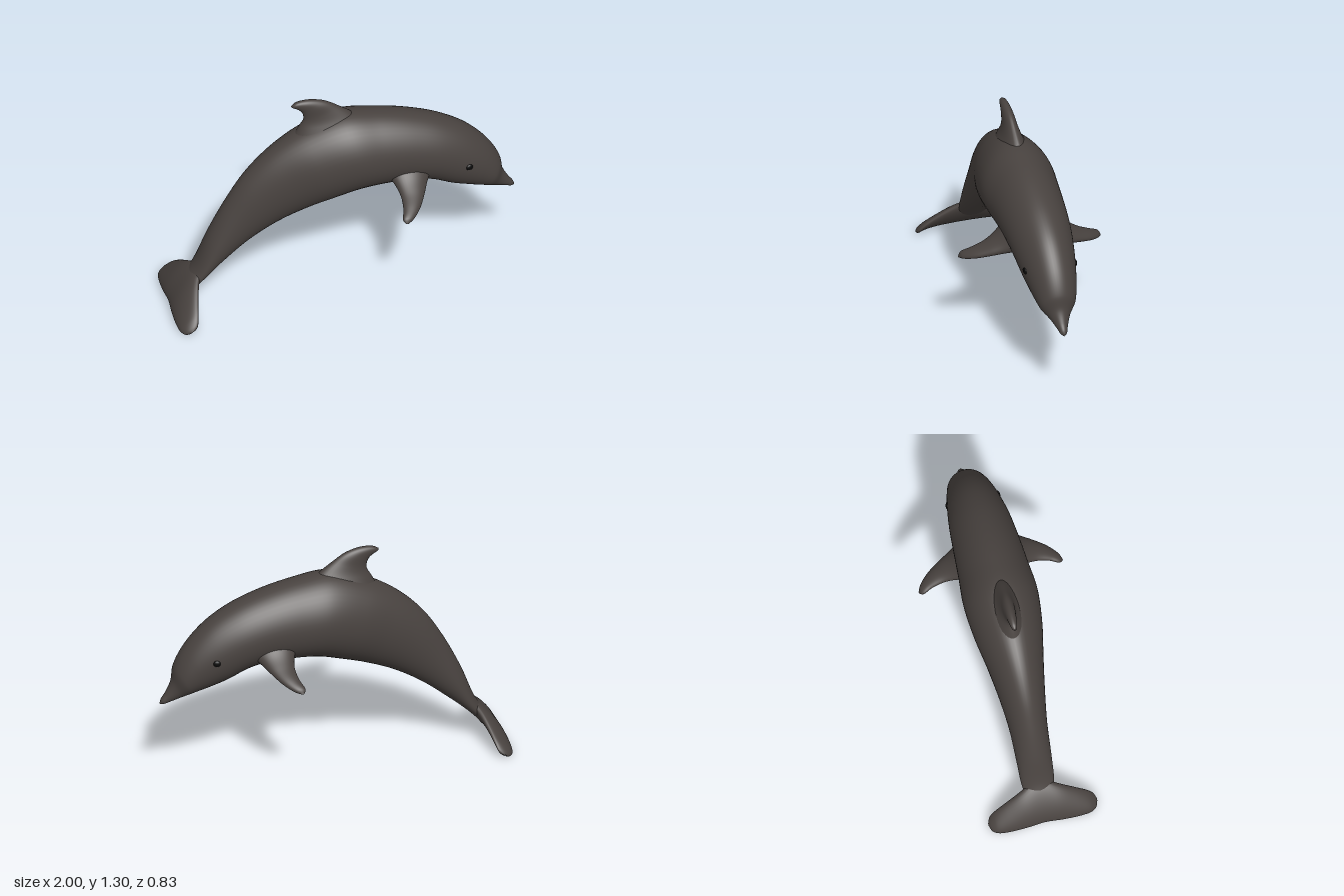
import * as THREE from 'three';

const skin = new THREE.MeshStandardMaterial({ color: 0x48423f });
const eyeMat = new THREE.MeshStandardMaterial({ color: 0x0a0a0a });

// Smooth loft through oval sections. Each station is { a, b, t }: a and b are the
// two ends of the section's long axis, t its half thickness along the given normal.
// pear > 0 makes the section fuller towards b.
function loft(name, stations, normal, { steps = 6, sides = 32, pear = 0 } = {}) {
  const curveA = new THREE.CatmullRomCurve3(stations.map(s => s.a));
  const curveB = new THREE.CatmullRomCurve3(stations.map(s => s.b));
  const curveT = new THREE.CatmullRomCurve3(stations.map((s, i) => new THREE.Vector3(s.t, i * 0.1, 0)));
  const rings = (stations.length - 1) * steps;
  const n = normal.clone().normalize();
  const pos = [], idx = [];
  for (let i = 0; i <= rings; i++) {
    const a = curveA.getPoint(i / rings), b = curveB.getPoint(i / rings);
    const t = Math.max(curveT.getPoint(i / rings).x, 0.0005);
    const c = a.clone().add(b).multiplyScalar(0.5);
    const u = a.clone().sub(b).multiplyScalar(0.5);
    for (let j = 0; j < sides; j++) {
      const th = (j / sides) * Math.PI * 2;
      const w = t * Math.sin(th) * (1 - pear * Math.cos(th));
      const p = c.clone().addScaledVector(u, Math.cos(th)).addScaledVector(n, w);
      pos.push(p.x, p.y, p.z);
    }
  }
  // Choose the winding so that faces point outwards
  const m = Math.floor(stations.length / 2);
  const mid = s => s.a.clone().add(s.b);
  const forward = mid(stations[m]).sub(mid(stations[m - 1]));
  const across = stations[m].a.clone().sub(stations[m].b);
  const outward = across.cross(n).dot(forward) > 0;
  for (let i = 0; i < rings; i++) {
    for (let j = 0; j < sides; j++) {
      const k = (j + 1) % sides;
      const p = i * sides + j, q = i * sides + k, r = p + sides, s = q + sides;
      if (outward) idx.push(p, q, r, q, s, r);
      else idx.push(p, r, q, q, r, s);
    }
  }
  const g = new THREE.BufferGeometry();
  g.setAttribute('position', new THREE.Float32BufferAttribute(pos, 3));
  g.setIndex(idx);
  g.computeVertexNormals();
  const mesh = new THREE.Mesh(g, skin);
  mesh.name = name;
  return mesh;
}

// Station from a flat row: ax, ay, bx, by, half thickness, z
const station = ([ax, ay, bx, by, t, z = 0]) => ({
  a: new THREE.Vector3(ax, ay, z), b: new THREE.Vector3(bx, by, z), t,
});

// Back edge, belly edge and half width, tail to beak
const BODY = [
  [-0.955, 0.09, -0.94, 0.075, 0.02],
  [-0.91, 0.17, -0.87, 0.12, 0.07],
  [-0.845, 0.27, -0.79, 0.2, 0.093],
  [-0.765, 0.47, -0.68, 0.295, 0.1],
  [-0.66, 0.68, -0.53, 0.415, 0.108],
  [-0.55, 0.85, -0.36, 0.52, 0.13],
  [-0.4, 1.0, -0.2, 0.59, 0.16],
  [-0.22, 1.11, -0.04, 0.645, 0.195],
  [0, 1.18, 0.1, 0.685, 0.212],
  [0.2, 1.163, 0.24, 0.695, 0.2],
  [0.4, 1.12, 0.38, 0.695, 0.188],
  [0.58, 1.055, 0.5, 0.67, 0.175],
  [0.73, 0.965, 0.62, 0.615, 0.155],
  [0.85, 0.84, 0.73, 0.58, 0.13],
  [0.915, 0.72, 0.82, 0.555, 0.102],
  [0.932, 0.63, 0.88, 0.532, 0.06],
  [0.965, 0.565, 0.935, 0.512, 0.034],
  [0.99, 0.53, 0.98, 0.498, 0.019],
  [1.0, 0.507, 0.998, 0.497, 0.002],
];

// Leading edge, trailing edge and half thickness, root to tip
const DORSAL = [
  [0.15, 1.09, -0.31, 1.0, 0.12],
  [0.07, 1.175, -0.245, 1.12, 0.066],
  [-0.01, 1.235, -0.215, 1.18, 0.042],
  [-0.09, 1.285, -0.225, 1.23, 0.032],
  [-0.18, 1.308, -0.25, 1.255, 0.025],
  [-0.25, 1.304, -0.28, 1.272, 0.016],
  [-0.285, 1.287, -0.287, 1.28, 0.001],
];
const FLIPPER = [
  [0.5, 0.79, 0.22, 0.82, 0.08, 0.11],
  [0.455, 0.755, 0.265, 0.775, 0.048, 0.185],
  [0.42, 0.725, 0.285, 0.735, 0.032, 0.26],
  [0.375, 0.692, 0.28, 0.7, 0.023, 0.34],
  [0.325, 0.667, 0.265, 0.672, 0.015, 0.395],
  [0.29, 0.655, 0.28, 0.656, 0.001, 0.415],
];
const FLUKE = [
  [-0.8, 0.26, -0.99, 0.03, 0.04, 0],
  [-0.845, 0.215, -0.995, 0.022, 0.035, 0.1],
  [-0.872, 0.15, -0.995, 0.015, 0.028, 0.2],
  [-0.888, 0.095, -0.985, 0.01, 0.022, 0.27],
  [-0.9, 0.06, -0.965, 0.012, 0.016, 0.3],
  [-0.925, 0.035, -0.935, 0.028, 0.001, 0.314],
];

const mirrorZ = row => [...row.slice(0, 5), -row[5]];

export function createModel() {
  const model = new THREE.Group();
  model.name = 'dolphin';
  const zAxis = new THREE.Vector3(0, 0, 1);

  model.add(loft('body', BODY.map(station), zAxis, { steps: 8, sides: 48, pear: 0.1 }));
  model.add(loft('dorsalFin', DORSAL.map(station), zAxis));

  // Both tail flukes in one span, tip to tip
  const span = [...FLUKE.slice(1).reverse().map(mirrorZ), ...FLUKE];
  model.add(loft('tailFlukes', span.map(station), new THREE.Vector3(0.8, -0.6, 0)));

  // Paired flippers and eyes
  for (const side of [1, -1]) {
    const label = side > 0 ? 'front' : 'back';
    const rows = side > 0 ? FLIPPER : FLIPPER.map(mirrorZ);
    model.add(loft(label + 'Flipper', rows.map(station), new THREE.Vector3(0.06, 0.9, 0.4 * side)));

    const eye = new THREE.Mesh(new THREE.SphereGeometry(0.021, 20, 14), eyeMat);
    eye.name = label + 'Eye';
    eye.scale.set(1, 0.9, 0.5);
    eye.position.set(0.708, 0.78, 0.146 * side);
    eye.rotation.y = 0.25 * side;
    model.add(eye);
  }
  return model;
}
